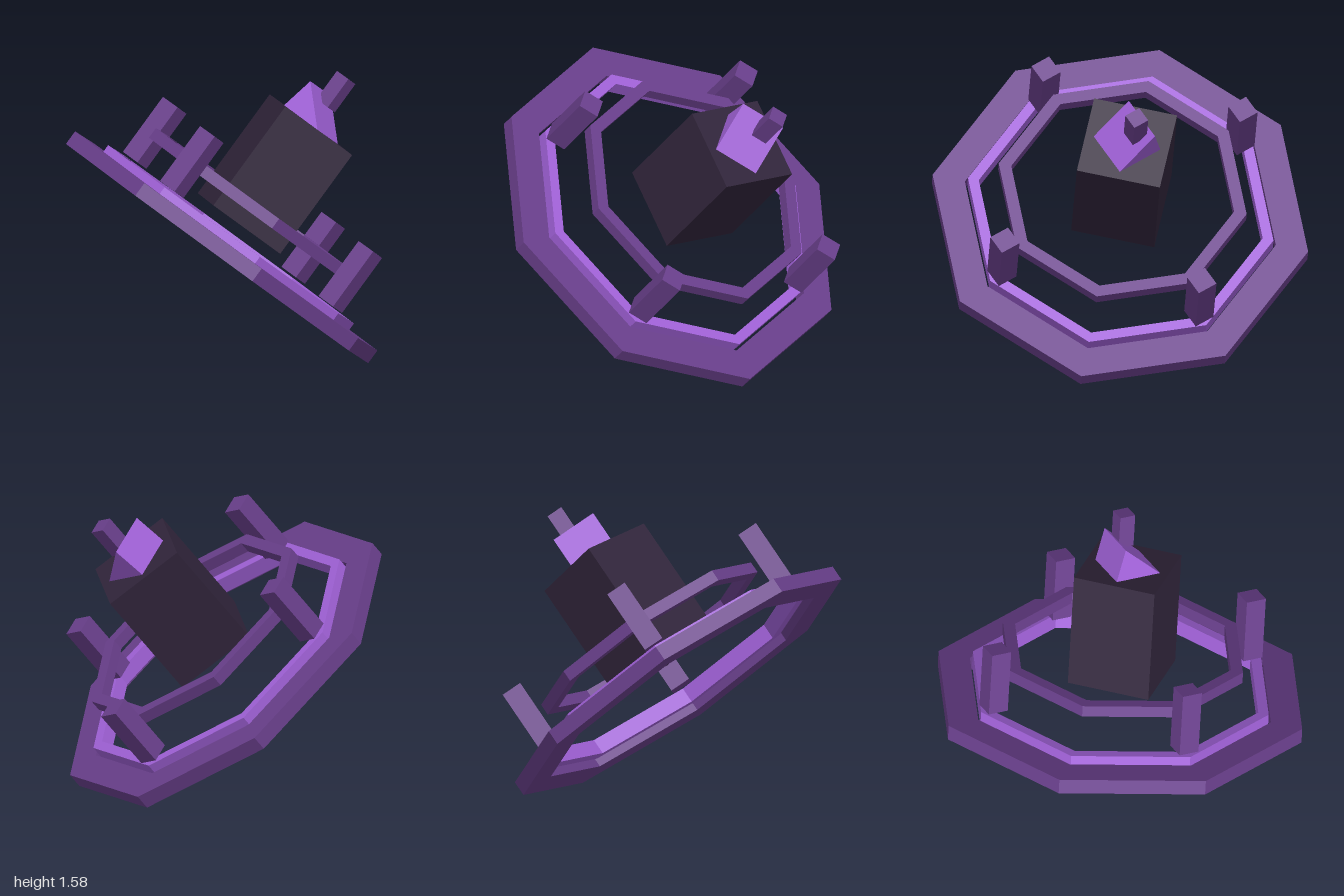
import * as THREE from 'three';

const makeMaterial = (name, color) => {
  const m = new THREE.MeshStandardMaterial({ color });
  m.name = name;
  return m;
};

export function createModel() {
  const purple = makeMaterial('deep purple', 0x683e8a);
  const violet = makeMaterial('bright violet', 0x9f60d6);
  const dark = makeMaterial('dark plum', 0x30243a);

  const model = new THREE.Group();
  model.name = 'ringedBlock';

  // Everything is built upright in a group that is then tilted
  const tilted = new THREE.Group();
  tilted.name = 'tiltedAssembly';
  const up = new THREE.Vector3(0.55, 0.77, 0.32).normalize();
  const side = new THREE.Vector3(0.652, -0.174, -0.739);
  side.addScaledVector(up, -side.dot(up)).normalize();
  const front = new THREE.Vector3().crossVectors(side, up);
  tilted.quaternion.setFromRotationMatrix(new THREE.Matrix4().makeBasis(side, up, front));
  tilted.position.set(-0.04, 0.69, 0);
  model.add(tilted);

  const add = (parent, name, geometry, material, x = 0, y = 0, z = 0) => {
    const mesh = new THREE.Mesh(geometry, material);
    mesh.name = name;
    mesh.position.set(x, y, z);
    parent.add(mesh);
    return mesh;
  };

  // Eight-sided ring with a rectangular section and flat faces
  const ring = (name, inner, outer, bottom, top, material) => {
    const section = [
      [inner, bottom], [outer, bottom], [outer, top], [inner, top], [inner, bottom],
    ].map(([r, y]) => new THREE.Vector2(r, y));
    const geometry = new THREE.LatheGeometry(section, 8).toNonIndexed();
    geometry.computeVertexNormals();
    return add(tilted, name, geometry, material);
  };
  ring('outerRing', 0.865, 1.045, -0.0425, 0.0425, purple);
  ring('glowRing', 0.79, 0.85, 0.0, 0.087, violet);
  ring('upperRing', 0.62, 0.69, 0.25, 0.315, purple);

  // Central block
  add(tilted, 'body', new THREE.BoxGeometry(0.462, 0.665, 0.462), dark, 0, 0.4925, 0);

  // Parts turned an eighth of a circle from the block
  const diagonal = new THREE.Group();
  diagonal.name = 'diagonalParts';
  diagonal.rotation.y = -Math.PI / 4;
  tilted.add(diagonal);

  // Four posts between the rings
  for (let i = 0; i < 4; i++) {
    const a = (i * Math.PI) / 2;
    add(diagonal, 'post', new THREE.BoxGeometry(0.115, 0.37, 0.115), purple,
      0.775 * Math.sin(a), 0.285, 0.775 * Math.cos(a));
  }

  // Wedge on top of the block
  const profile = new THREE.Shape();
  profile.moveTo(-0.132, 0);
  profile.lineTo(0.132, 0);
  profile.lineTo(0.087, 0.19);
  profile.closePath();
  const wedge = new THREE.ExtrudeGeometry(profile, { depth: 0.26, bevelEnabled: false });
  wedge.translate(0, 0, -0.13).rotateY(Math.PI / 2);
  add(diagonal, 'wedge', wedge, violet, 0, 0.825, 0);

  // Small peg set into the wedge
  add(diagonal, 'peg', new THREE.BoxGeometry(0.09, 0.19, 0.09), purple, 0.04, 1.05, -0.02);

  return model;
}
